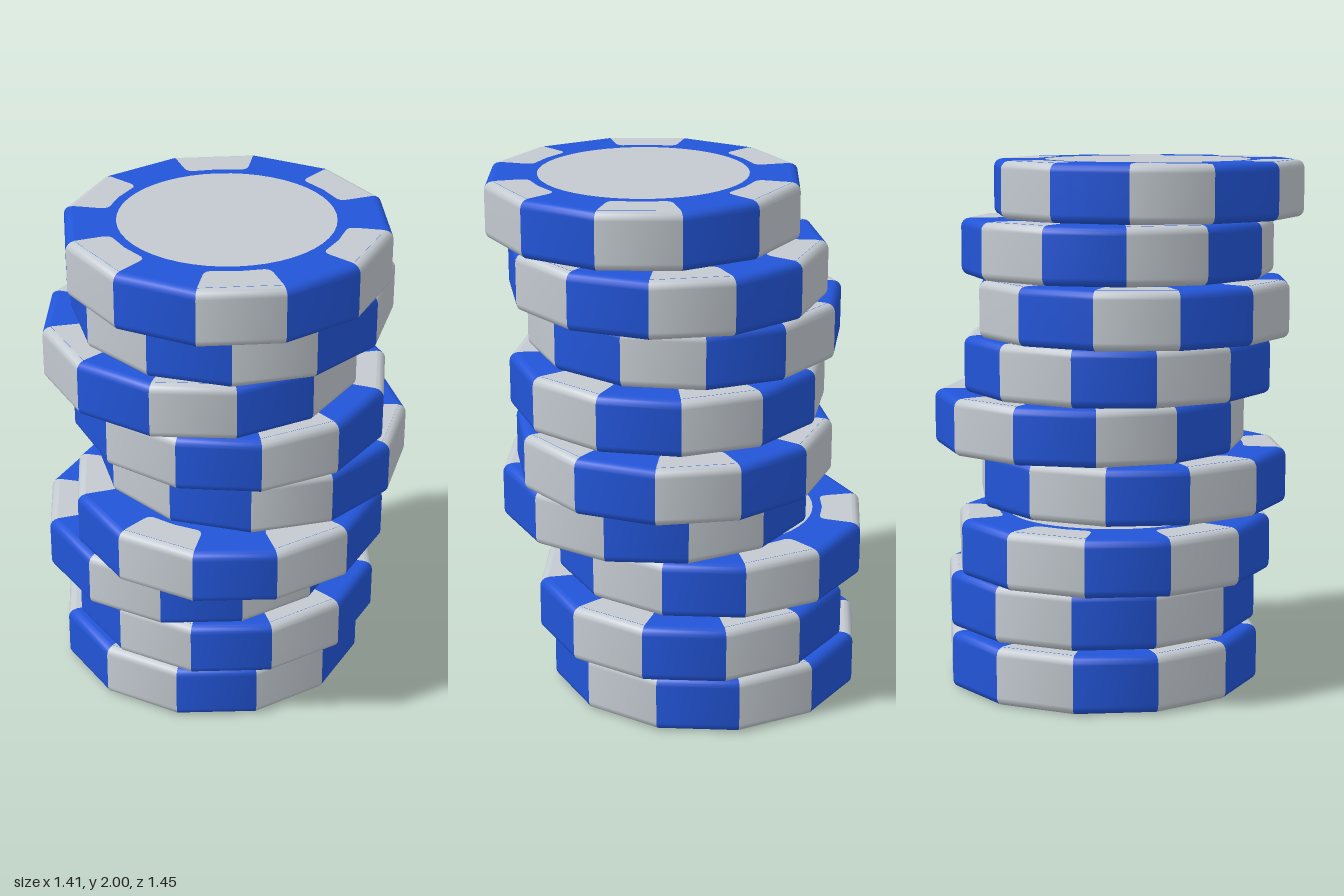
import * as THREE from 'three';
import { mergeGeometries } from 'three/addons/utils/BufferGeometryUtils.js';

const R = 0.606, H = 0.2195, PITCH = (2 - 0.001 - H) / 8, BEVEL = 0.032;
const STEP = Math.PI / 6;

// centre x, centre z, turn in degrees (where a light wedge begins), bottom to top
const CHIPS = [
  [-0.05, -0.114, 30], [0.01, -0.1, 30.2], [-0.103, -0.087, 30],
  [0.058, 0.053, 30], [0.111, -0.103, 12.4], [0.053, -0.008, 23.2],
  [-0.057, 0.016, -4.7], [0.056, -0.006, 12.5], [0.063, 0.12, 2.6],
];

// point on the top face; angle runs from +z towards +x
const polar = (r, a) => new THREE.Vector2(r * Math.sin(a), -r * Math.cos(a));

// underside, rounded rims and side wall
function bodyProfile() {
  const pts = [new THREE.Vector2(0, 0), new THREE.Vector2(R - BEVEL - 0.01, 0)];
  for (const [cy, from] of [[BEVEL, -Math.PI / 2], [H - BEVEL, 0]]) {
    for (let i = 0; i <= 4; i++) {
      const a = from + (i / 4) * Math.PI / 2;
      pts.push(new THREE.Vector2(R - BEVEL + BEVEL * Math.cos(a), cy + BEVEL * Math.sin(a)));
    }
  }
  return pts;
}

// every second wedge of the twelve-sided body
function wedges(first) {
  const profile = bodyProfile(), parts = [];
  for (let k = first; k < 12; k += 2) parts.push(new THREE.LatheGeometry(profile, 1, k * STEP, STEP));
  return mergeGeometries(parts);
}

// edge spots on the top face, with rounded inner corners
function topSpots() {
  const shapes = [], rOut = R - BEVEL, rIn = 0.437, c = 0.035;
  for (let k = 0; k < 12; k += 2) {
    const a = k * STEP, b = a + STEP, da = c / rIn;
    const s = new THREE.Shape();
    const p = (r, t) => polar(r, t).toArray();
    s.moveTo(...p(rOut, a));
    s.lineTo(...p(rOut, b));
    s.lineTo(...p(rIn + c, b));
    s.quadraticCurveTo(...p(rIn, b), ...p(rIn, b - da));
    s.lineTo(...p(rIn, (a + b) / 2));
    s.lineTo(...p(rIn, a + da));
    s.quadraticCurveTo(...p(rIn, a), ...p(rIn + c, a));
    s.closePath();
    shapes.push(s);
  }
  return new THREE.ShapeGeometry(shapes, 4);
}

const faceUp = (geo, y) => geo.rotateX(-Math.PI / 2).translate(0, y, 0);

export function createModel() {
  const blue = new THREE.MeshStandardMaterial({ color: 0x2255d8 });
  blue.name = 'blue';
  const grey = new THREE.MeshStandardMaterial({ color: 0xc3cad0 });
  grey.name = 'light grey';

  const parts = [
    ['lightWedges', wedges(0), grey],
    ['blueWedges', wedges(1), blue],
    ['topFace', faceUp(new THREE.CircleGeometry(R - BEVEL, 12), H), blue],
    ['topSpots', faceUp(topSpots(), H + 0.001), grey],
    ['centreDisc', faceUp(new THREE.CircleGeometry(0.4, 48), H + 0.001), grey],
  ];

  const model = new THREE.Group();
  model.name = 'chipStack';
  CHIPS.forEach(([x, z, turn], i) => {
    const chip = new THREE.Group();
    chip.name = `chip${i + 1}`;
    for (const [name, geo, mat] of parts) {
      const mesh = new THREE.Mesh(geo, mat);
      mesh.name = name;
      chip.add(mesh);
    }
    chip.position.set(x, i * PITCH, z);
    chip.rotation.y = THREE.MathUtils.degToRad(turn);
    model.add(chip);
  });
  return model;
}
